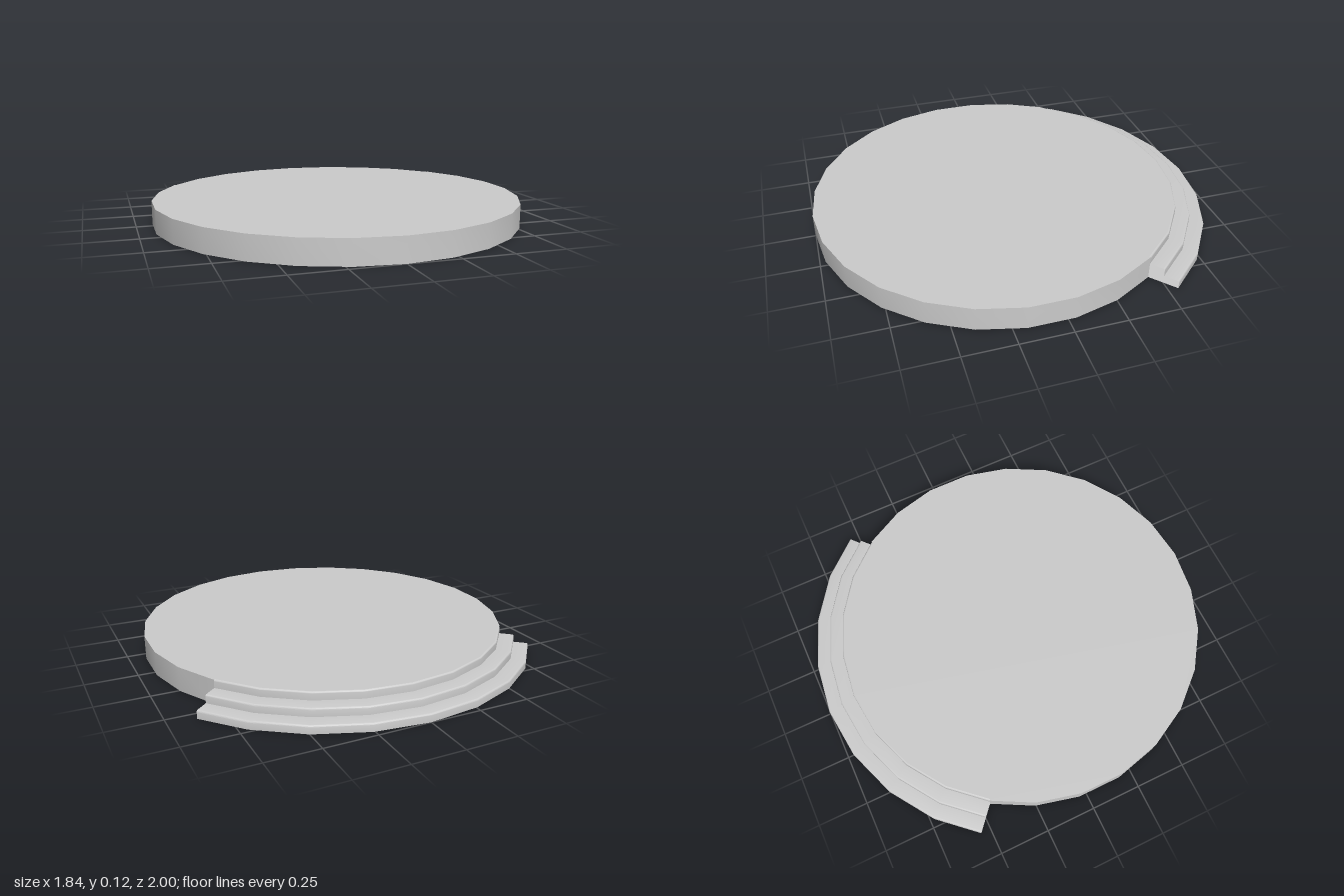
import * as THREE from 'three';
import { toCreasedNormals } from 'three/addons/utils/BufferGeometryUtils.js';

const SIDES = 26, RADIUS = 0.926, CENTRE_Z = 0.074, HEIGHT = 0.118;
const HALF = 4;                    // the steps cover this many sides each way from the back
const STEPS = 3, TREAD = 0.0735, BEVEL = 0.008;
const STEP_ANGLE = (Math.PI * 2) / SIDES;

// Rim corner i, counted from the back, pushed outwards by an offset
function rimPoint(i, offset = 0) {
  const a = i * STEP_ANGLE;
  let dir = a, push = offset / Math.cos(STEP_ANGLE / 2);
  if (Math.abs(i) === HALF) {      // square ends to the run of steps
    dir = a - Math.sign(i) * STEP_ANGLE / 2;
    push = offset;
  }
  return [
    Math.sin(a) * RADIUS + Math.sin(dir) * push,
    CENTRE_Z - Math.cos(a) * RADIUS - Math.cos(dir) * push,
  ];
}

// Sweep a profile of [offset, y] points, bottom to top, along the rim
function sweep(from, to, profile) {
  const pos = [], index = [], n = profile.length;
  for (let i = from; i <= to; i++) {
    for (const [o, y] of profile) {
      const [x, z] = rimPoint(i, o);
      pos.push(x, y, z);
    }
  }
  for (let i = 0; i < to - from; i++) {
    for (let j = 0; j < n - 1; j++) {
      const a = i * n + j, b = a + n;
      index.push(a, a + 1, b + 1, a, b + 1, b);
    }
  }
  const geo = new THREE.BufferGeometry();
  geo.setAttribute('position', new THREE.Float32BufferAttribute(pos, 3));
  geo.setIndex(index);
  return toCreasedNormals(geo, 0.5);
}

// Flat plate: the round rim, with the back part offset
function plate(offset, y) {
  const pts = [];
  for (let i = -HALF; i <= HALF; i++) pts.push(rimPoint(i, offset));
  for (let i = HALF; i <= SIDES - HALF; i++) pts.push(rimPoint(i));
  const shape = new THREE.Shape(pts.map(([x, z]) => new THREE.Vector2(x, -z)));
  return new THREE.ShapeGeometry(shape).rotateX(-Math.PI / 2).translate(0, y, 0);
}

export function createModel() {
  const group = new THREE.Group();
  group.name = 'roundPlatform';
  const solid = new THREE.MeshStandardMaterial({ color: 0xcccccc });
  const thin = new THREE.MeshStandardMaterial({ color: 0xcccccc, side: THREE.DoubleSide });
  const add = (name, geo, mat = solid) => {
    const mesh = new THREE.Mesh(geo, mat);
    mesh.name = name;
    group.add(mesh);
  };

  // Platform
  add('platformTop', plate(-BEVEL, HEIGHT));
  add('platformWall', sweep(HALF, SIDES - HALF, [[0, 0], [0, HEIGHT]]));
  add('platformBase', plate(TREAD * (STEPS - 1), 0), thin);

  // Curved steps with rounded edges, lowest first
  const rise = HEIGHT / STEPS;
  for (let s = 0; s < STEPS; s++) {
    const front = TREAD * (STEPS - 1 - s), top = rise * (s + 1);
    const profile = [[front, rise * s]];
    for (let k = 0; k <= 4; k++) {
      const t = (k / 4) * Math.PI / 2;
      profile.push([front - BEVEL + BEVEL * Math.cos(t), top - BEVEL + BEVEL * Math.sin(t)]);
    }
    if (s < STEPS - 1) profile.push([front - TREAD, top]);
    add('step' + (s + 1), sweep(-HALF, HALF, profile));
  }
  return group;
}
